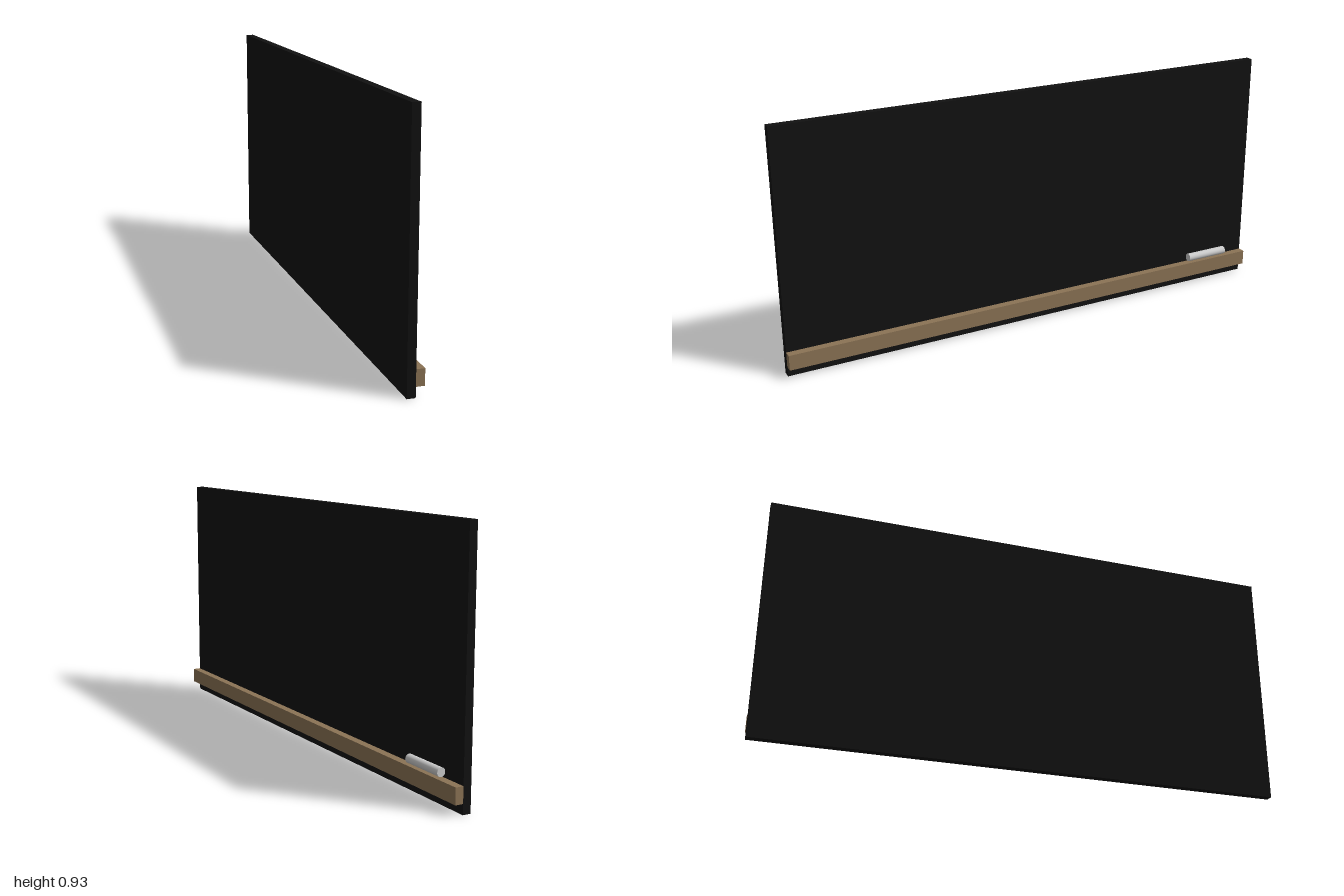
import * as THREE from 'three';

export function createModel() {
  const model = new THREE.Group();

  const add = (name, geometry, color, x, y, z) => {
    const mesh = new THREE.Mesh(geometry, new THREE.MeshStandardMaterial({ color }));
    mesh.name = name;
    mesh.position.set(x, y, z);
    model.add(mesh);
    return mesh;
  };

  // Upright writing board, its writing side facing +x
  add('board', new THREE.BoxGeometry(0.03, 0.926, 2), 0x111111, -0.0155, 0.463, 0);

  // Wooden ledge along the lower edge
  add('chalkLedge', new THREE.BoxGeometry(0.03, 0.058, 2), 0x8b7355, 0.0145, 0.066, 0);

  // Stick of chalk lying along the ledge
  const chalk = add('chalk', new THREE.CylinderGeometry(0.016, 0.016, 0.18, 24), 0xcccccc, 0.0135, 0.115, -0.811);
  chalk.rotation.x = Math.PI / 2;

  return model;
}
